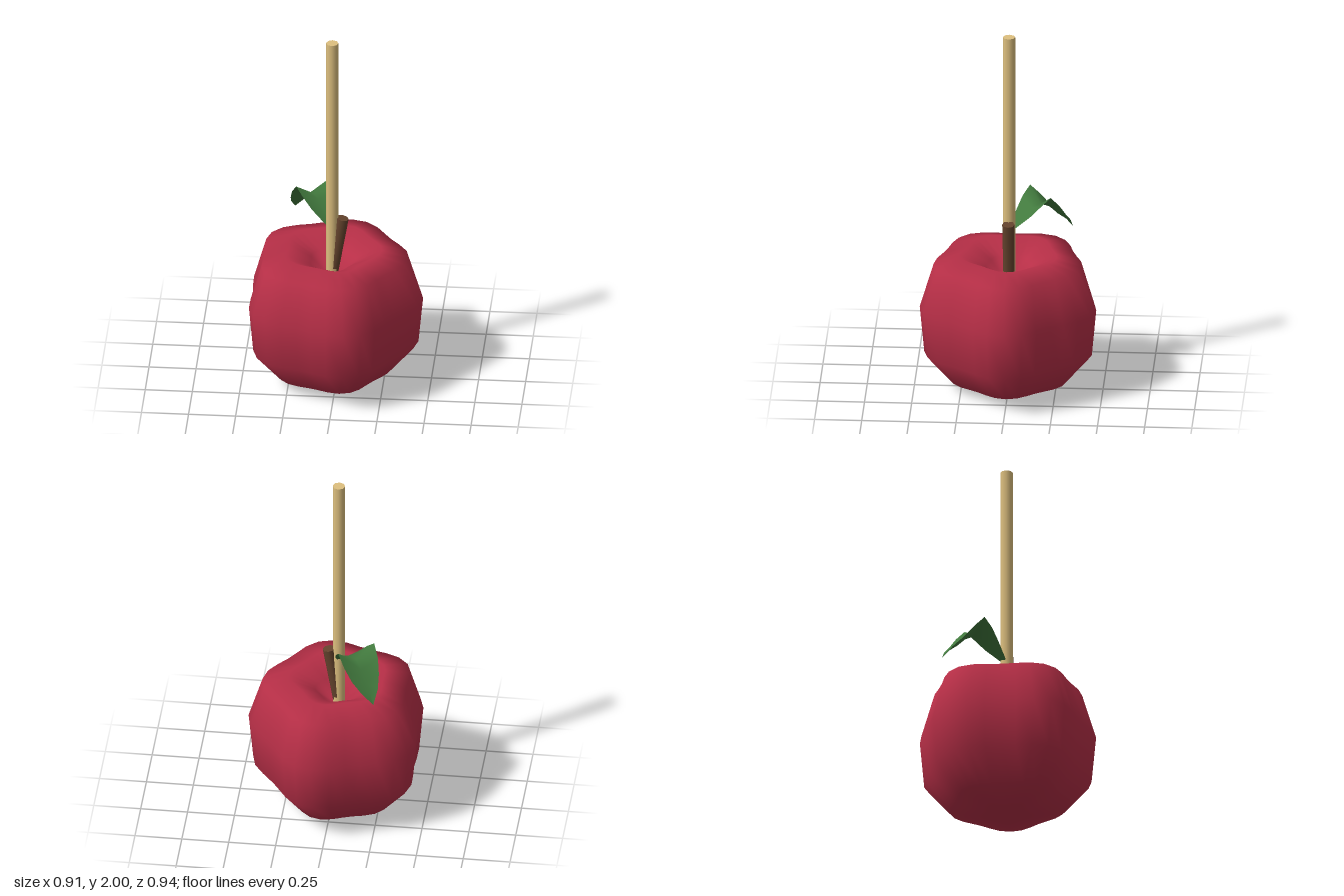
import * as THREE from 'three';
import { mergeVertices } from 'three/addons/utils/BufferGeometryUtils.js';

const CENTER_X = -0.027;

function part(name, geometry, color, doubleSided = false) {
  const material = new THREE.MeshStandardMaterial({ color });
  if (doubleSided) material.side = THREE.DoubleSide;
  const mesh = new THREE.Mesh(geometry, material);
  mesh.name = name;
  return mesh;
}

// Lathed body pushed out into five soft lobes, with a dip at the top
function appleGeometry() {
  const profile = [
    [0, 0.01], [0.09, 0], [0.293, 0.05], [0.429, 0.22], [0.452, 0.48],
    [0.382, 0.72], [0.248, 0.76], [0.12, 0.69], [0, 0.58],
  ].map(([r, y]) => new THREE.Vector2(r, y));
  let geometry = new THREE.LatheGeometry(profile, 32);
  const pos = geometry.attributes.position;
  for (let i = 0; i < pos.count; i++) {
    const x = pos.getX(i), z = pos.getZ(i);
    const lobe = 1 + 0.067 * Math.cos(5 * Math.atan2(z, x));
    pos.setX(i, x * lobe);
    pos.setZ(i, z * lobe);
  }
  geometry.deleteAttribute('normal');
  geometry.deleteAttribute('uv');
  geometry = mergeVertices(geometry, 1e-4);
  geometry.computeVertexNormals();
  return geometry;
}

// Leaf from cross-sections: [distance along, half width, rib height, edge height]
function leafGeometry() {
  const sections = [
    [0, 0.012, 0.87, 0.88], [0.09, 0.07, 0.95, 0.97], [0.14, 0.094, 0.99, 1.025],
    [0.193, 0.107, 1.0, 1.07], [0.25, 0.1, 0.97, 1.01], [0.3, 0.08, 0.92, 0.945],
    [0.35, 0.048, 0.88, 0.89], [0.392, 0, 0.83, 0.83],
  ];
  const along = new THREE.Vector2(-0.56, -0.83);
  const across = new THREE.Vector2(0.83, -0.56);
  const positions = [], indices = [];
  sections.forEach(([d, w, rib, edge], row) => {
    for (const side of [-1, 0, 1]) {
      positions.push(
        -0.03 + along.x * d + across.x * w * side,
        side ? edge : rib,
        along.y * d + across.y * w * side,
      );
    }
    if (row === 0) return;
    for (let k = 0; k < 2; k++) {
      const a = (row - 1) * 3 + k, b = a + 1, c = a + 3, e = a + 4;
      indices.push(a, b, c, b, e, c);
    }
  });
  const geometry = new THREE.BufferGeometry();
  geometry.setAttribute('position', new THREE.Float32BufferAttribute(positions, 3));
  geometry.setIndex(indices);
  geometry.computeVertexNormals();
  return geometry;
}

export function createModel() {
  const group = new THREE.Group();
  group.name = 'appleOnStick';

  const apple = part('apple', appleGeometry(), 0xb72f47);
  apple.position.x = CENTER_X;

  // Straight holding stick, sunk into the apple
  const stick = part('stick', new THREE.CylinderGeometry(0.033, 0.033, 1.6, 8), 0xdec07f);
  stick.position.set(CENTER_X, 1.2, 0);

  // Short leaning stem
  const stem = part('stem', new THREE.CylinderGeometry(0.033, 0.029, 0.42, 8), 0x65442e);
  stem.position.set(-0.006, 0.738, 0);
  stem.rotation.z = -0.16;

  const leaf = part('leaf', leafGeometry(), 0x427a3e, true);

  group.add(apple, stick, stem, leaf);
  return group;
}
